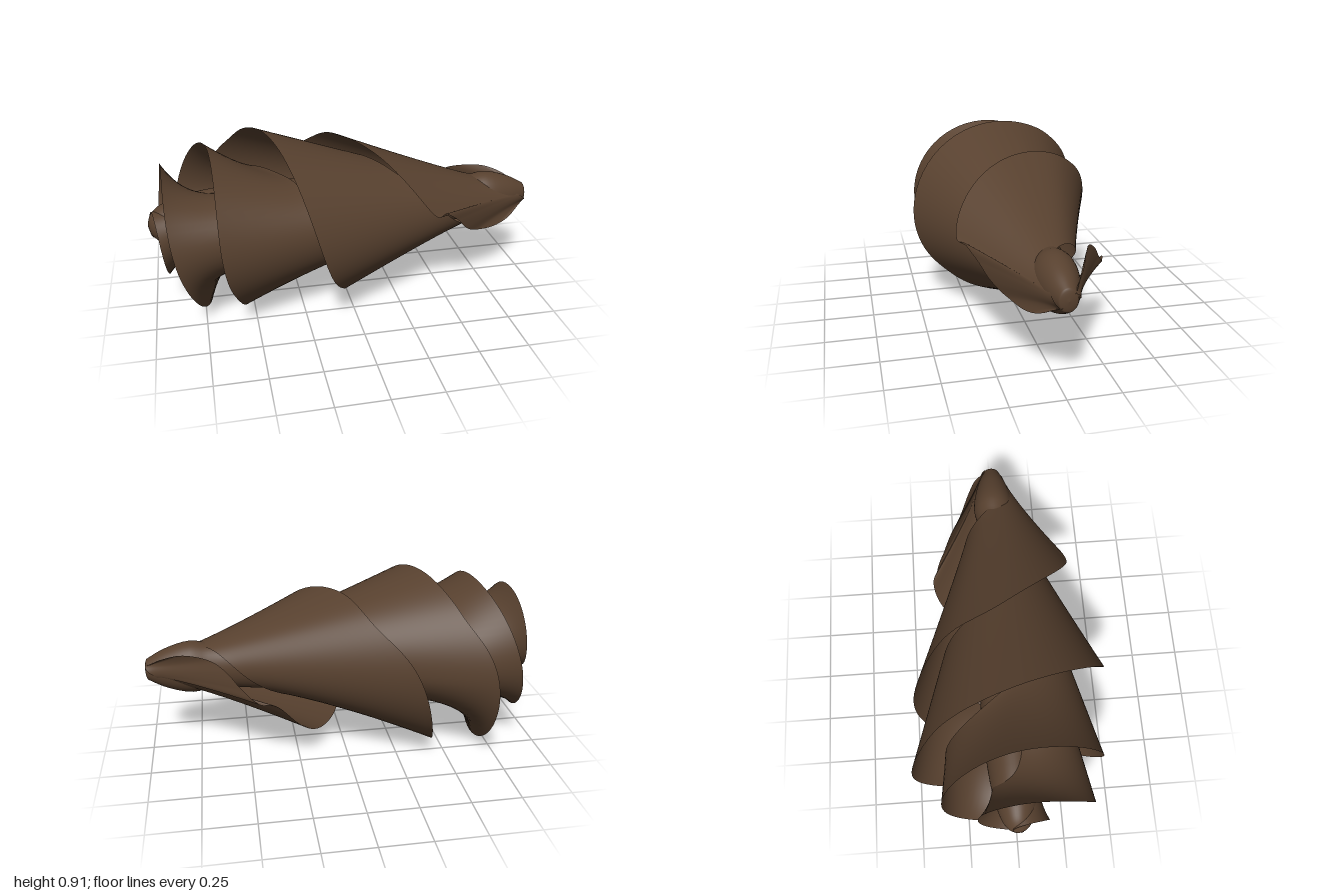
import * as THREE from 'three';

const AXIS_Y = 0.455;
const K0 = -3, K1 = 8; // range of quarter turns along the tucked edge

const smooth = rows => new THREE.CatmullRomCurve3(rows.map(p => new THREE.Vector3(...p)), false, 'catmullrom', 0.5);

// flared outer lips of the two interleaved sheets: x, radius, quarter turn
const lipStart = [[-1, 0.01, -3], [-0.98, 0.07, -2]];
const lipEnd = [[0.45, 0.34, 6.86], [0.53, 0.285, 6.98], [0.59, 0.25, 7.15], [0.67, 0.215, 7.33],
  [0.8, 0.178, 7.47], [0.9, 0.125, 7.5], [0.99, 0.03, 7.54]];
const lipA = smooth([...lipStart, [-0.95, 0.17, -1], [-0.91, 0.32, 0], [-0.88, 0.385, 1], [-0.71, 0.455, 2],
  [-0.69, 0.5, 3], [-0.53, 0.465, 3.5], [-0.41, 0.45, 4], [-0.2, 0.5, 5], [-0.06, 0.43, 5.5], [0.06, 0.37, 6],
  [0.33, 0.37, 6.8], ...lipEnd]);
const lipB = smooth([...lipStart, [-0.95, 0.14, -1], [-0.91, 0.28, 0], [-0.86, 0.36, 1], [-0.69, 0.4, 2],
  [-0.66, 0.45, 3], [-0.58, 0.445, 3.5], [-0.49, 0.45, 4], [-0.33, 0.48, 5], [-0.1, 0.425, 5.5], [0.04, 0.373, 6],
  [0.35, 0.375, 6.8], ...lipEnd]);

// inner edges, one row per quarter turn: x, radius, strength of the flare
const tuckStart = [[-0.9, 0.06, 1], [-0.85, 0.08, 1.5], [-0.75, 0.11, 2], [-0.6, 0.14, 3], [-0.6, 0.33, 1]];
const tuckEnd = [[0.5, 0.18, 1.05], [0.74, 0.11, 1.1], [0.97, 0.06, 1.2], [0.995, 0.03, 1]];
const tuckA = smooth([...tuckStart, [-0.4, 0.2, 4], [-0.15, 0.32, 1], [0.15, 0.26, 1.05], ...tuckEnd]);
const tuckB = smooth([...tuckStart, [-0.33, 0.22, 1.5], [-0.15, 0.32, 1], [0.1, 0.2, 1.15], ...tuckEnd]);

// sheet wound around the x axis, narrowing from its lip to its tucked edge
function spiralSheet(lip, tuck, phase) {
  const nu = 300, nv = 24, pos = [], index = [];
  for (let i = 0; i <= nu; i++) {
    const l = lip.getPoint(i / nu);
    const k = THREE.MathUtils.clamp(l.z, K0, K1);
    const e = tuck.getPoint((k - K0) / (K1 - K0));
    const a = k * Math.PI / 2 + phase;
    for (let j = 0; j <= nv; j++) {
      const t = j / nv;
      const x = l.x + (Math.max(e.x, l.x) - l.x) * t;
      const r = Math.max(0, e.y + (l.y - e.y) * Math.pow(1 - t, Math.max(1, e.z)));
      pos.push(x, AXIS_Y + r * Math.cos(a), r * Math.sin(a));
      if (i < nu && j < nv) {
        const p = i * (nv + 1) + j, q = p + nv + 1;
        index.push(p, p + 1, q, q, p + 1, q + 1);
      }
    }
  }
  const g = new THREE.BufferGeometry();
  g.setAttribute('position', new THREE.Float32BufferAttribute(pos, 3));
  g.setIndex(index);
  g.computeVertexNormals();
  return g;
}

export function createModel() {
  const brown = new THREE.MeshStandardMaterial({ color: 0x58412f, side: THREE.DoubleSide });
  brown.name = 'dark brown';
  const group = new THREE.Group();
  group.name = 'spiralCone';
  const add = (name, geometry) => {
    const mesh = new THREE.Mesh(geometry, brown);
    mesh.name = name;
    group.add(mesh);
    return mesh;
  };

  add('spiralSheetA', spiralSheet(lipA, tuckA, 0));
  add('spiralSheetB', spiralSheet(lipB, tuckB, Math.PI));

  // slender core closing both ends, slightly flattened from front to back
  const profile = [[0, -1], [0.04, -0.99], [0.07, -0.97], [0.1, -0.93], [0.13, -0.85], [0.16, -0.7], [0.18, -0.4],
    [0.16, 0.2], [0.12, 0.62], [0.135, 0.77], [0.105, 0.89], [0.062, 0.975], [0.045, 0.993], [0, 1]];
  const spline = new THREE.SplineCurve(profile.map(([r, x]) => new THREE.Vector2(r, x)));
  const points = spline.getPoints(52).map(p => p.set(Math.max(0, p.x), p.y));
  const core = add('core', new THREE.LatheGeometry(points, 48).scale(1, 1, 0.8));
  core.rotation.z = -Math.PI / 2;
  core.position.y = AXIS_Y;

  return group;
}
